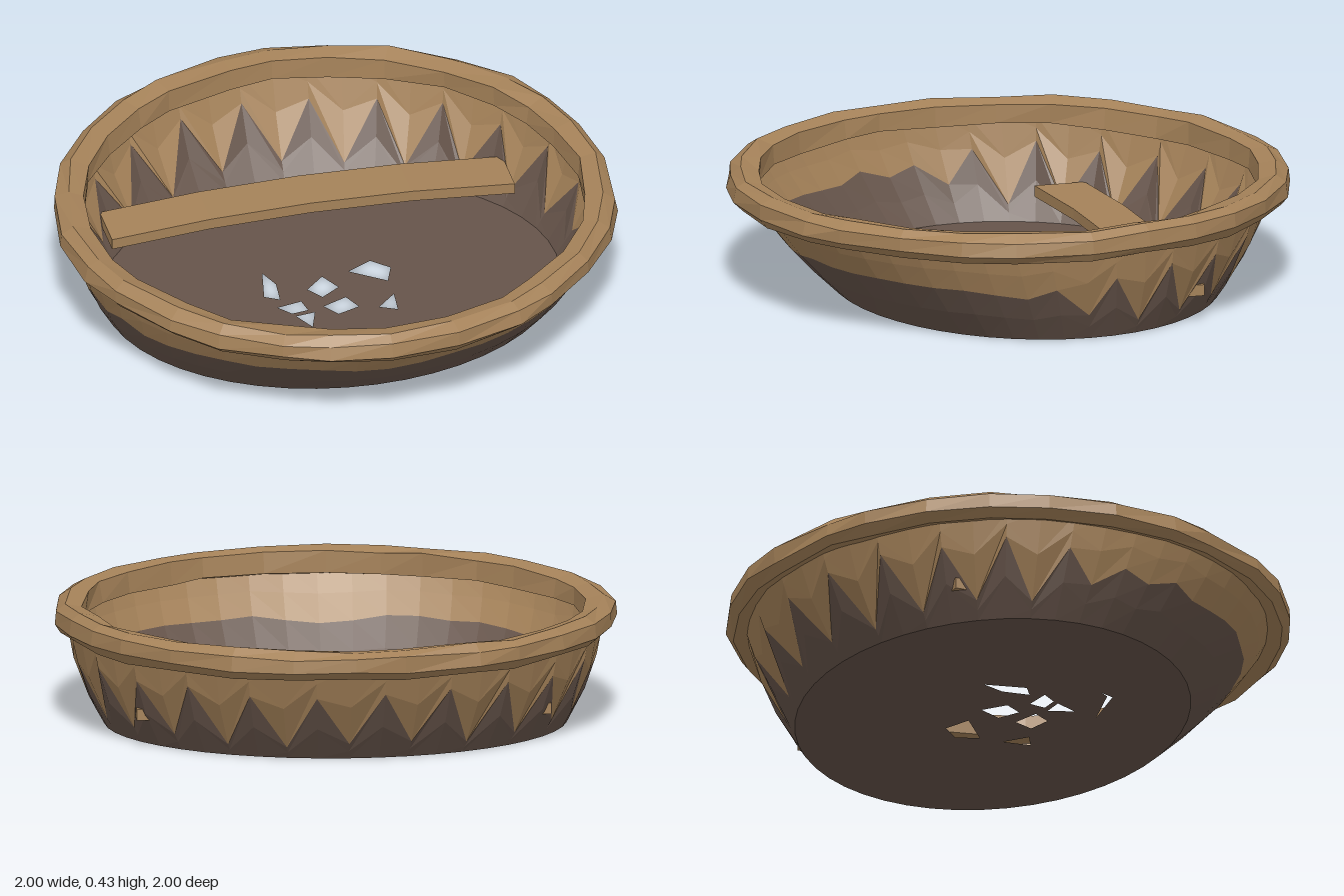
import * as THREE from 'three';

const TAU = Math.PI * 2;

// small repeatable random in -1..1
function seeded(seed) {
  let s = seed;
  return () => {
    s = (s * 16807) % 2147483647;
    return (s / 2147483647) * 2 - 1;
  };
}

// faceted skin over closed rings; 'closed' also joins the last point of each section to the first
function loft(sections, closed) {
  const pos = [];
  const n = sections.length, m = sections[0].length;
  for (let i = 0; i < n; i++) {
    const a = sections[i], b = sections[(i + 1) % n];
    for (let j = 0; j < (closed ? m : m - 1); j++) {
      const k = (j + 1) % m;
      for (const p of [a[j], b[j], b[k], a[j], b[k], a[k]]) pos.push(p.x, p.y, p.z);
    }
  }
  const g = new THREE.BufferGeometry();
  g.setAttribute('position', new THREE.Float32BufferAttribute(pos, 3));
  g.computeVertexNormals();
  return g;
}

// point on the hull skin: the floor oval sits behind the centre, so the bow slopes more
const FLOOR_Y = 0.01, TOP_Y = 0.37;
function hullPoint(a, y) {
  const t = (y - FLOOR_Y) / (TOP_Y - FLOOR_Y);
  const bulge = 0.025 * Math.sin(Math.PI * t);
  const rx = THREE.MathUtils.lerp(0.82, 0.95, t) + bulge;
  const rz = THREE.MathUtils.lerp(0.68, 0.93, t) + bulge;
  return new THREE.Vector3(rx * Math.sin(a), y, rz * Math.cos(a) - 0.06 * (1 - t));
}

export function createModel() {
  const wood = new THREE.MeshStandardMaterial({ color: 0xa58259 });
  const hide = new THREE.MeshStandardMaterial({ color: 0x66544a });
  wood.name = 'tan wood';
  hide.name = 'dark brown hide';
  for (const m of [wood, hide]) {
    m.flatShading = true;
    m.side = THREE.DoubleSide;
  }

  const group = new THREE.Group();
  const add = (name, geometry, material) => {
    const mesh = new THREE.Mesh(geometry, material);
    mesh.name = name;
    group.add(mesh);
    return mesh;
  };

  // hull wall in two colours, meeting at a line that is level at the bow and toothed elsewhere
  const COLS = 48, lower = [], upper = [];
  const rand = seeded(41);
  for (let i = 0; i < COLS; i++) {
    const a = (i / COLS) * TAU;
    const c = Math.cos(a);
    const tooth = THREE.MathUtils.smoothstep(-c, -0.5, 0.4);
    const level = THREE.MathUtils.lerp(0.2, 0.165, tooth);
    const y = level + (i % 2 ? 1 : -1) * 0.1 * tooth + rand() * 0.015;
    lower.push([hullPoint(a, FLOOR_Y), hullPoint(a, (FLOOR_Y + y) / 2), hullPoint(a, y)]);
    upper.push([hullPoint(a, y), hullPoint(a, (y + TOP_Y) / 2), hullPoint(a, TOP_Y)]);
  }
  add('lowerHull', loft(lower, false), hide);
  add('upperHull', loft(upper, false), wood);

  // floor with ragged leaks round the middle
  const floor = new THREE.Shape(lower.map(([p]) => new THREE.Vector2(p.x, p.z)));
  const leaks = [
    [-0.25, -0.03, -0.22, -0.18, -0.19, -0.1, -0.2, 0.0],
    [-0.22, 0.05, -0.13, 0.03, -0.12, 0.09, -0.18, 0.1],
    [-0.17, 0.12, -0.1, 0.11, -0.13, 0.2],
    [-0.06, 0.08, 0.03, 0.04, 0.06, 0.11, -0.02, 0.14],
    [-0.09, -0.04, -0.02, -0.11, 0.02, -0.03, -0.05, 0.02],
    [0.08, -0.12, 0.17, -0.17, 0.23, -0.11, 0.2, -0.03],
    [0.13, 0.13, 0.2, 0.06, 0.19, 0.16],
    [-0.31, 0.23, -0.29, 0.26, -0.11, 0.29, -0.29, 0.28],
  ];
  for (const l of leaks) {
    const pts = [];
    for (let i = 0; i < l.length; i += 2) pts.push(new THREE.Vector2(l[i], l[i + 1]));
    floor.holes.push(new THREE.Path(pts));
  }
  const floorGeo = new THREE.ShapeGeometry(floor);
  floorGeo.rotateX(Math.PI / 2);
  add('floor', floorGeo, hide).position.y = FLOOR_Y;

  // hand-hewn rim: uneven six-sided section swept round the top
  const section = [[0.965, 0.335], [0.995, 0.365], [0.99, 0.415], [0.95, 0.438], [0.89, 0.425], [0.885, 0.35]];
  const rimRand = seeded(7);
  const rim = [];
  for (let i = 0; i < 28; i++) {
    const a = (i / 28) * TAU + rimRand() * 0.035;
    const shift = rimRand() * 0.006;
    rim.push(section.map(([r, y]) => {
      const q = r + shift + rimRand() * 0.007;
      return new THREE.Vector3(q * Math.sin(a), y + rimRand() * 0.006, q * Math.cos(a));
    }));
  }
  add('rim', loft(rim, true), wood);

  // plank seat, bowed a little towards the back
  const seat = new THREE.BoxGeometry(1.47, 0.04, 0.185, 4, 1, 1);
  const p = seat.attributes.position;
  for (let i = 0; i < p.count; i++) {
    const x = p.getX(i);
    const bow = 1 - (x / 0.735) ** 2;
    p.setZ(i, p.getZ(i) - 0.045 * bow - 0.01 * x);
    p.setY(i, p.getY(i) + 0.008 * bow);
  }
  seat.computeVertexNormals();
  add('seat', seat, wood).position.set(0, 0.13, -0.41);

  return group;
}
